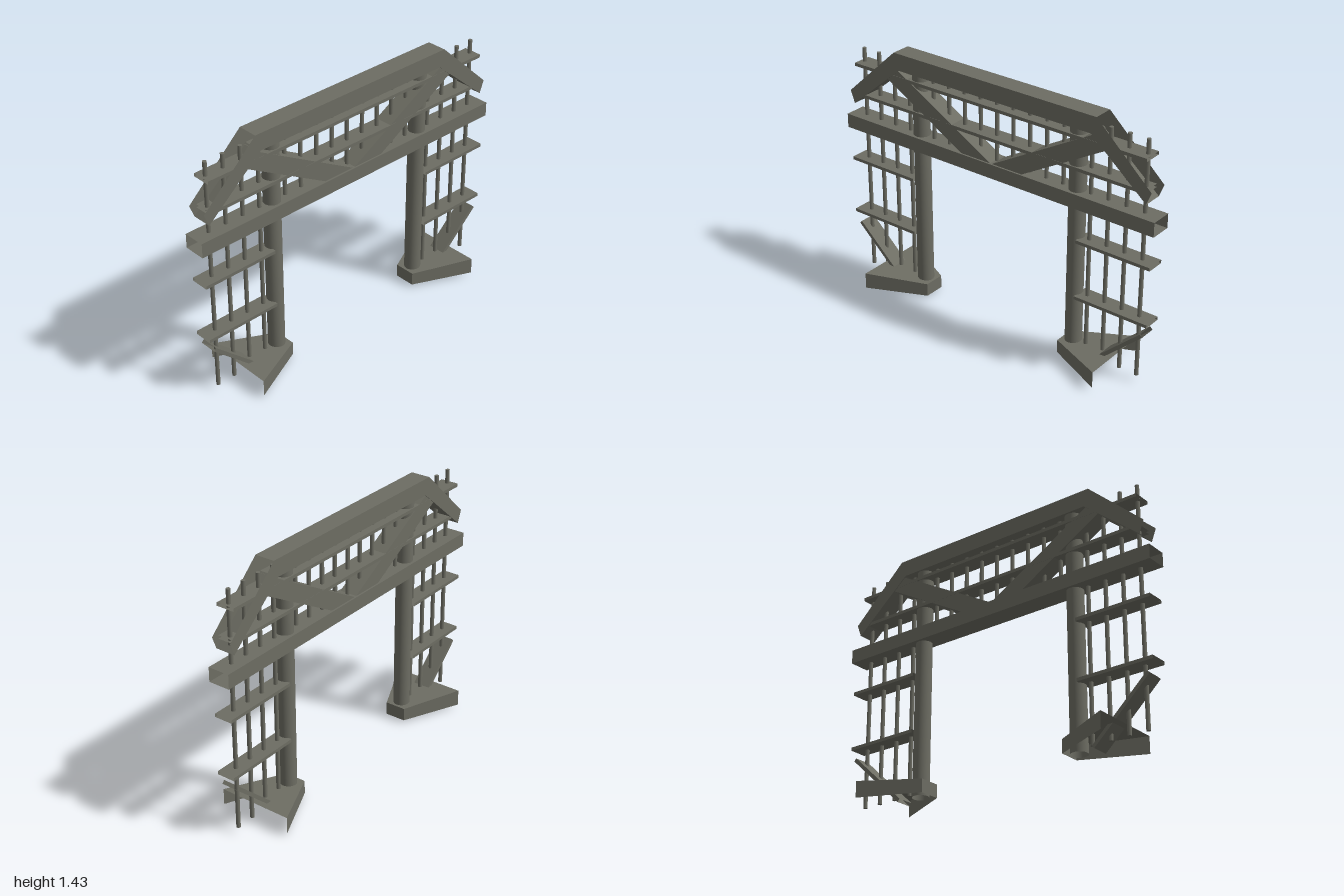
import * as THREE from 'three';

const steel = new THREE.MeshStandardMaterial({ color: 0x6d6d63, side: THREE.DoubleSide });
steel.name = 'greySteel';

// Flat-shaded mesh from a list of four-cornered faces
function quadMesh(name, quads) {
  const pos = [];
  for (const [a, b, c, d] of quads) pos.push(...a, ...b, ...c, ...a, ...c, ...d);
  const geo = new THREE.BufferGeometry();
  geo.setAttribute('position', new THREE.Float32BufferAttribute(pos, 3));
  geo.computeVertexNormals();
  const mesh = new THREE.Mesh(geo, steel);
  mesh.name = name;
  return mesh;
}

// Hollow girder with open ends between an upper and a lower line in the xy plane.
// hasTop(i) tells whether segment i has its upper plate.
function girder(name, top, bottom, halfZ, hasTop = () => true) {
  const at = ([x, y], z) => [x, y, z];
  const quads = [];
  for (let i = 0; i < top.length - 1; i++) {
    const t0 = top[i], t1 = top[i + 1], b0 = bottom[i], b1 = bottom[i + 1];
    const f = halfZ, k = -halfZ;
    quads.push([at(b0, f), at(b1, f), at(t1, f), at(t0, f)]);
    quads.push([at(b1, k), at(b0, k), at(t0, k), at(t1, k)]);
    quads.push([at(b0, k), at(b1, k), at(b1, f), at(b0, f)]);
    if (hasTop(i)) quads.push([at(t0, f), at(t1, f), at(t1, k), at(t0, k)]);
  }
  return quadMesh(name, quads);
}

// Horizontal slat, open at both ends
function slat(name, x0, x1, y, halfZ = 0.052, half = 0.009) {
  return girder(name, [[x0, y + half], [x1, y + half]], [[x0, y - half], [x1, y - half]], halfZ);
}

// Upright round bar
function upright(name, x, y0, y1, radius, sides, open) {
  const mesh = new THREE.Mesh(
    new THREE.CylinderGeometry(radius, radius, y1 - y0, sides, 1, open), steel);
  mesh.position.set(x, (y0 + y1) / 2, 0);
  mesh.name = name;
  return mesh;
}

// Everything that stands on one side; built for +x
function createSide() {
  const side = new THREE.Group();
  side.add(upright('column', 0.51, 0.01, 1.335, 0.046, 24, true));

  // Flared footing, open below and on the outer end
  const xi = 0.45, xo = 0.78, zi = 0.06, zo = 0.21, yb = 0.012, yi = 0.087, yo = 0.105;
  side.add(quadMesh('footing', [
    [[xi, yb, zi], [xo, yb, zo], [xo, yo, zo], [xi, yi, zi]],
    [[xo, yb, -zo], [xi, yb, -zi], [xi, yi, -zi], [xo, yo, -zo]],
    [[xi, yb, -zi], [xi, yb, zi], [xi, yi, zi], [xi, yi, -zi]],
    [[xi, yi, zi], [xo, yo, zo], [xo, yo, -zo], [xi, yi, -zi]],
  ]));

  // Slanted plank rising from the footing
  side.add(girder('slantedPlank', [[0.616, 0.015], [0.945, 0.318]],
    [[0.63, 0.0], [0.959, 0.303]], 0.049));

  // Side lattice
  for (const y of [0.38, 0.71]) side.add(slat('sideSlat', 0.54, 0.983, y));
  for (let i = 0; i < 4; i++) {
    side.add(upright('sideRod', 0.59 + i * 0.106, 0.035, 1.375, 0.0115, 10, false));
  }

  // Diagonal truss brace
  side.add(girder('diagonalBrace', [[0, 0.976], [0.63, 1.333]],
    [[0.06, 0.902], [0.715, 1.275]], 0.051));
  return side;
}

export function createModel() {
  const model = new THREE.Group();
  model.name = 'trussGate';

  // Lower beam
  model.add(slat('lowerBeam', -1, 1, 0.94, 0.061, 0.04));

  // Upper chord, its sloping ends being open-topped channels
  model.add(girder('upperChord',
    [[-0.972, 1.128], [-0.645, 1.43], [0.645, 1.43], [0.972, 1.128]],
    [[-0.945, 1.058], [-0.615, 1.335], [0.615, 1.335], [0.945, 1.058]],
    0.056, (i) => i === 1));

  // Long slats through the truss
  for (const y of [1.288, 1.115]) model.add(slat('trussSlat', -0.933, 0.933, y));

  // Rods between beam and chord
  for (let i = -4; i <= 4; i++) {
    model.add(upright('trussRod', i * 0.1055, 0.95, 1.375, 0.0115, 10, false));
  }

  // The two sides, the second one turned half round
  const left = createSide();
  left.name = 'leftSide';
  const right = createSide();
  right.name = 'rightSide';
  right.rotation.y = Math.PI;
  model.add(left, right);
  return model;
}
